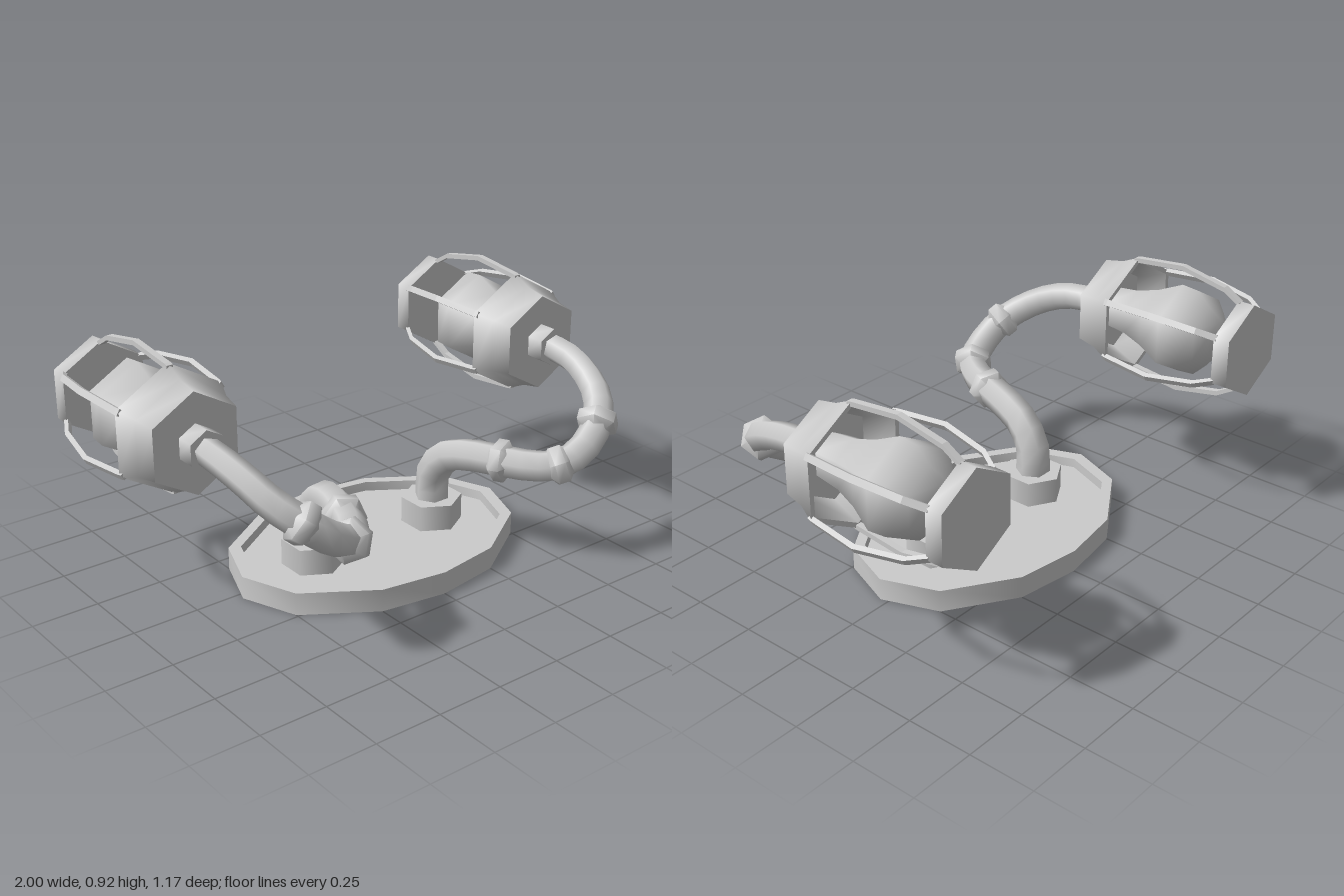
import * as THREE from 'three';
import { toCreasedNormals } from 'three/addons/utils/BufferGeometryUtils.js';

const material = new THREE.MeshStandardMaterial({ color: 0xcccccc });
const HEX_CREASE = 1.1; // keeps six-sided parts smooth around, sharp at their rims

function addMesh(parent, name, geometry) {
  const mesh = new THREE.Mesh(geometry, material);
  mesh.name = name;
  parent.add(mesh);
  return mesh;
}

// Six-sided turned part, profile given as [radius, height] pairs going upward
function hexLathe(profile, crease = HEX_CREASE) {
  const points = profile.map(([r, h]) => new THREE.Vector2(r, h));
  return toCreasedNormals(new THREE.LatheGeometry(points, 6), crease);
}

// Twelve-sided oval outline
function ovalPoints(scale) {
  const corners = [[0.58, 0], [0.5, 0.21], [0.25, 0.372], [0, 0.41], [-0.25, 0.372], [-0.5, 0.21]];
  return [...corners, ...corners.map(([x, z]) => [-x, -z])]
    .map(([x, z]) => new THREE.Vector2(x * scale, z * scale));
}

function ovalSlab(shape, bottom, height) {
  const geometry = new THREE.ExtrudeGeometry(shape, { depth: height, bevelEnabled: false });
  geometry.rotateX(-Math.PI / 2).translate(0, bottom, 0.03);
  return toCreasedNormals(geometry, 0.8);
}

function createBase() {
  const base = new THREE.Group();
  base.name = 'base';
  const rim = new THREE.Shape(ovalPoints(1));
  rim.holes.push(new THREE.Path(ovalPoints(0.915)));
  addMesh(base, 'baseRim', ovalSlab(rim, 0, 0.085));
  addMesh(base, 'basePlate', ovalSlab(new THREE.Shape(ovalPoints(0.92)), 0.03, 0.018));
  return base;
}

// Six-sided pipe that narrows from r0 to r1 along the path
function taperedPipe(path, segments, r0, r1) {
  const geometry = new THREE.TubeGeometry(path, segments, 1, 6, false);
  const position = geometry.attributes.position;
  const v = new THREE.Vector3();
  for (let i = 0; i < position.count; i++) {
    const t = Math.floor(i / 7) / segments;
    const center = path.getPointAt(t);
    v.fromBufferAttribute(position, i).sub(center)
      .multiplyScalar(THREE.MathUtils.lerp(r0, r1, t)).add(center);
    position.setXYZ(i, v.x, v.y, v.z);
  }
  geometry.computeVertexNormals();
  return toCreasedNormals(geometry, 1.3);
}

function createArm(side) {
  const arm = new THREE.Group();
  arm.name = side > 0 ? 'leftArm' : 'rightArm';

  const socket = addMesh(arm, 'socket', new THREE.CylinderGeometry(0.115, 0.115, 0.107, 6));
  socket.position.set(side * 0.277, 0.0935, 0.035);

  // Curved pipe from the socket to the lamp
  const path = new THREE.CatmullRomCurve3([
    [0.277, 0.12, 0.037], [0.278, 0.25, 0.042], [0.29, 0.335, 0.11], [0.315, 0.365, 0.21],
    [0.357, 0.373, 0.325], [0.405, 0.378, 0.43], [0.47, 0.39, 0.505], [0.565, 0.44, 0.53],
    [0.655, 0.51, 0.505], [0.72, 0.57, 0.435], [0.752, 0.622, 0.34], [0.768, 0.652, 0.24],
    [0.77, 0.663, 0.12],
  ].map(([x, y, z]) => new THREE.Vector3(side * x, y, z)));
  addMesh(arm, 'pipe', taperedPipe(path, 22, 0.066, 0.05));

  // Joint collars, turned to follow the pipe
  const collar = hexLathe([[0.045, -0.042], [0.078, -0.02], [0.078, 0.02], [0.045, 0.042]]);
  for (const point of [4, 6, 8]) {
    const t = point / 12;
    const mesh = addMesh(arm, 'jointCollar', collar);
    mesh.position.copy(path.getPoint(t));
    mesh.quaternion.setFromUnitVectors(new THREE.Vector3(0, 1, 0), path.getTangent(t));
  }

  const lamp = createLamp();
  lamp.position.set(side * 0.77, 0.663, 0);
  arm.add(lamp);
  return arm;
}

// Lamp lying along z, opening toward the back
function createLamp() {
  const lamp = new THREE.Group();
  lamp.name = 'lamp';
  const turned = (name, profile, crease) =>
    addMesh(lamp, name, hexLathe(profile, crease).rotateX(Math.PI / 2));

  turned('lampNeck', [[0, 0.06], [0.073, 0.06], [0.073, 0.15], [0, 0.15]]);
  turned('lampHousing', [[0, 0.03], [0.165, 0.03], [0.215, -0.075], [0.235, -0.075],
    [0.2, 0], [0.184, 0.08], [0, 0.08]]);
  turned('bulb', [[0, -0.44], [0.07, -0.44], [0.118, -0.4], [0.172, -0.345], [0.178, -0.275],
    [0.128, -0.17], [0.098, -0.075], [0.085, 0.035]], 1.3);
  turned('cageCap', [[0, -0.585], [0.182, -0.585], [0.182, -0.52], [0, -0.52]]);

  // Bent cage bars, one at each corner of the housing
  const outer = [[-0.06, 0.231], [-0.075, 0.235], [-0.275, 0.257], [-0.46, 0.221], [-0.53, 0.18]];
  const inner = outer.map(([z, r]) => [z, r - 0.018]).reverse();
  const strip = new THREE.Shape([...outer, ...inner].map(([z, r]) => new THREE.Vector2(z, r)));
  const width = 0.024;
  const bar = new THREE.ExtrudeGeometry(strip, { depth: width, bevelEnabled: false });
  bar.translate(0, 0, -width / 2).rotateY(-Math.PI / 2);
  for (let i = 0; i < 6; i++) {
    addMesh(lamp, 'cageBar', bar).rotation.z = i * Math.PI / 3;
  }
  return lamp;
}

export function createModel() {
  const model = new THREE.Group();
  model.name = 'twinWallLamp';
  model.add(createBase(), createArm(1), createArm(-1));
  return model;
}
